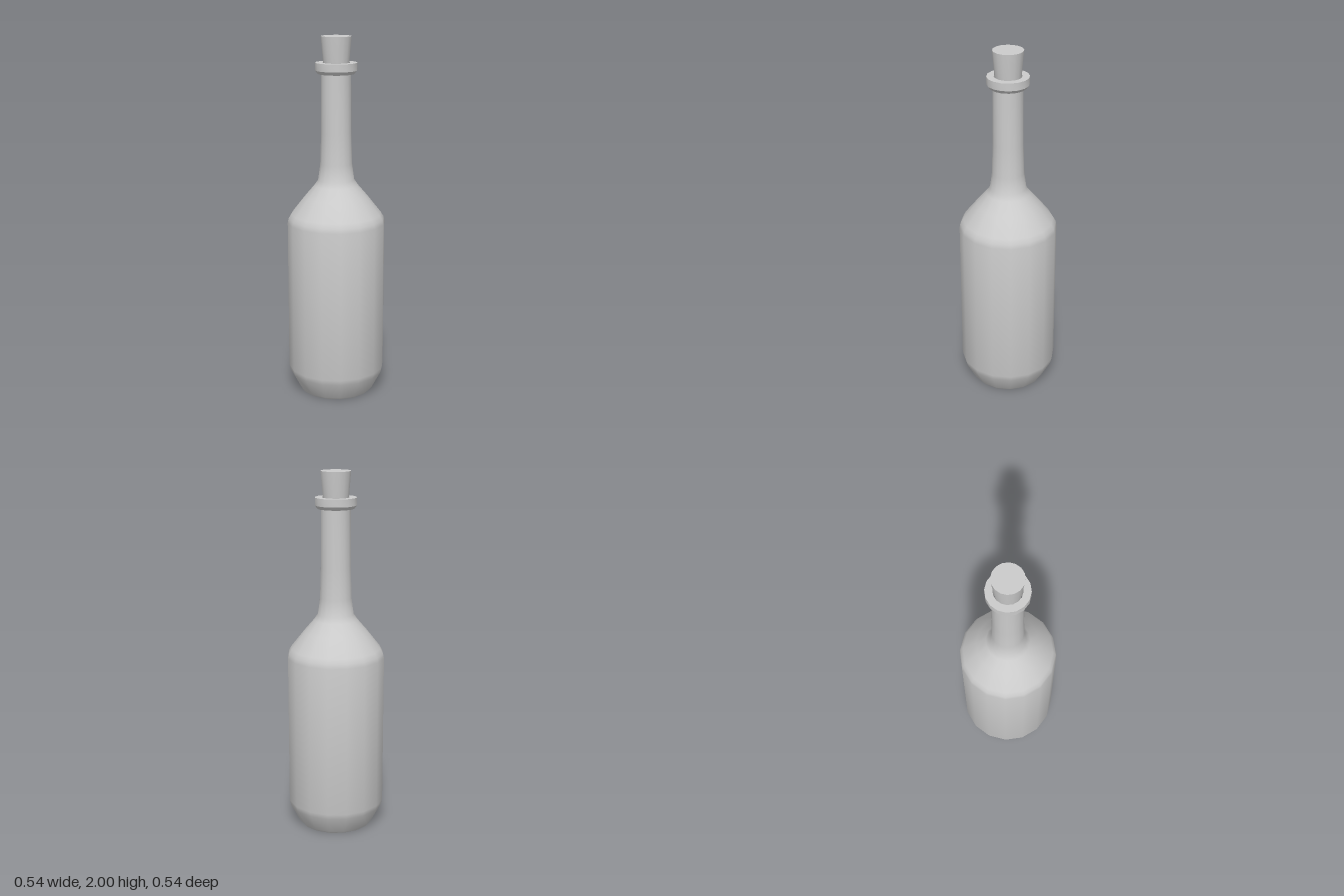
import * as THREE from 'three';
import { toCreasedNormals } from 'three/addons/utils/BufferGeometryUtils.js';

const SIDES = 16;
const material = new THREE.MeshStandardMaterial({ color: 0xcccccc });

// Revolve a [radius, height] profile, keeping only sharp edges creased
function turned(name, profile) {
  const points = profile.map(([r, y]) => new THREE.Vector2(r, y));
  const geometry = toCreasedNormals(new THREE.LatheGeometry(points, SIDES), 0.65);
  const mesh = new THREE.Mesh(geometry, material);
  mesh.name = name;
  return mesh;
}

export function createModel() {
  const model = new THREE.Group();
  model.name = 'corkedBottle';

  // Bottle: hollow punt, base, body, shoulder, neck, lip and mouth
  model.add(turned('bottle', [
    [0, 0.08], [0.05, 0.07], [0.09, 0.04], [0.115, 0.005], [0.13, 0],
    [0.2, 0], [0.21, 0.012],
    [0.262, 0.11], [0.27, 0.14],
    [0.27, 0.98], [0.265, 1.005], [0.25, 1.03],
    [0.175, 1.125], [0.12, 1.19], [0.1, 1.22], [0.088, 1.31], [0.083, 1.48], [0.081, 1.8],
    [0.1, 1.8], [0.114, 1.818], [0.114, 1.86],
    [0.075, 1.86], [0.07, 1.76],
  ]));

  // Tapered stopper seated in the mouth
  model.add(turned('cork', [
    [0, 1.77], [0.06, 1.77], [0.071, 1.86], [0.083, 2], [0, 2],
  ]));

  return model;
}
